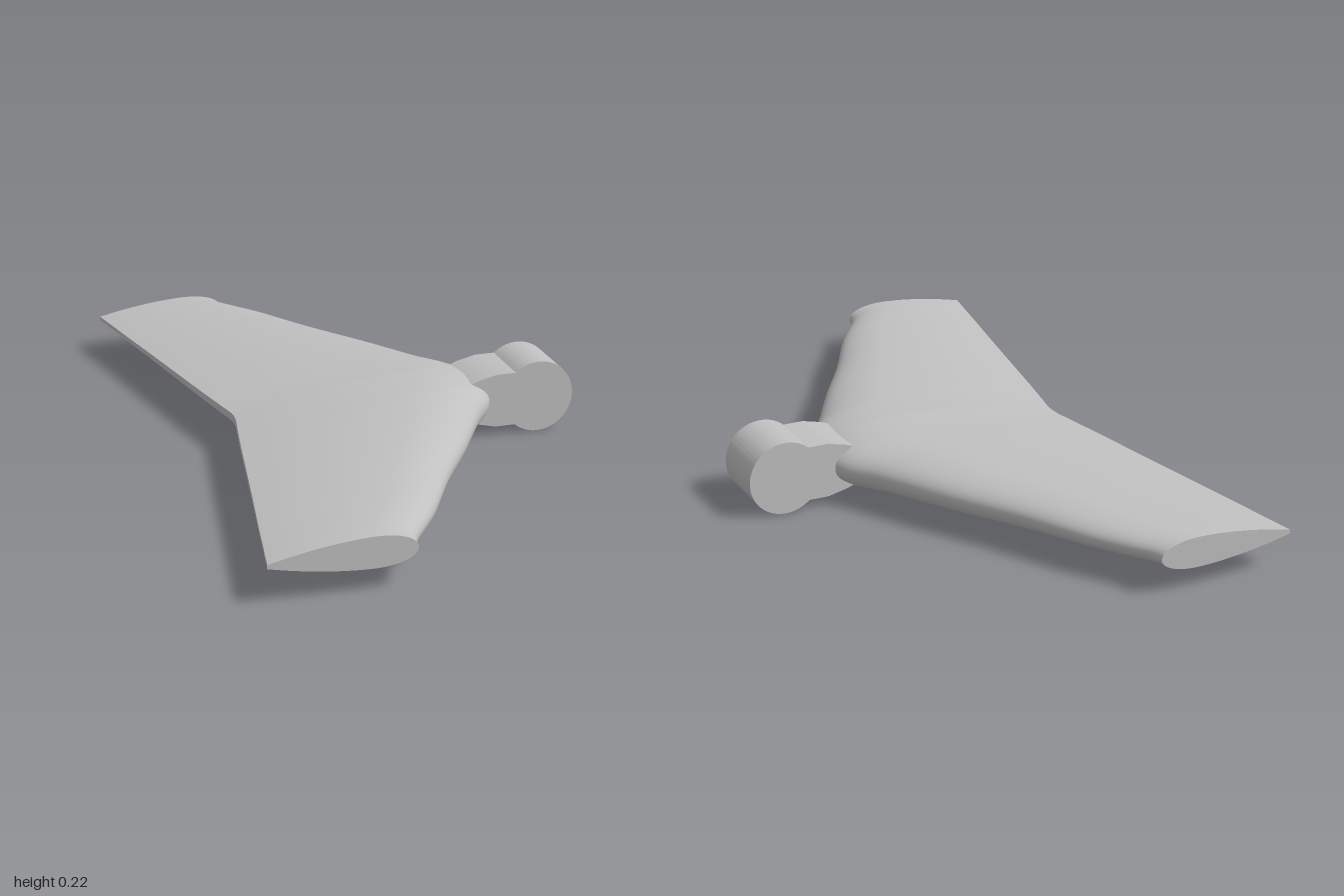
import * as THREE from 'three';
import { toCreasedNormals } from 'three/addons/utils/BufferGeometryUtils.js';

const MID = 0.108; // height of the chord plane

// Half span stations: distance from centre, trailing edge x, leading edge x
const STATIONS = [
  [0, -0.415, 0.345], [0.1, -0.431, 0.332], [0.2, -0.45, 0.265], [0.4, -0.486, 0.15],
  [0.6, -0.522, 0.026], [0.8, -0.559, -0.083], [0.88, -0.573, -0.136],
  [0.95, -0.586, -0.183], [0.98, -0.591, -0.194], [1, -0.595, -0.197],
];

// Airfoil half thickness (0..1), t runs from the nose to the trailing edge
function thickness(t) {
  const peak = 0.28;
  if (t < peak) return Math.pow(1 - (1 - t / peak) ** 2, 0.47);
  return 1 - 0.87 * ((t - peak) / (1 - peak)) ** 1.75;
}

// Section outline: upper trailing edge, round the nose, lower trailing edge
function section(z, trail, lead, n = 28) {
  const half = 0.088 - 0.044 * Math.abs(z);
  const points = [];
  for (let i = -n; i <= n; i++) {
    const t = (i / n) ** 2;
    const side = i < 0 ? 1 : -1;
    const y = i === 0 ? 0 : side * half * thickness(t);
    points.push(new THREE.Vector3(lead + (trail - lead) * t, MID + y, z));
  }
  return points;
}

// Skin a grid of sections
function loft(rows) {
  const n = rows[0].length;
  const index = [];
  for (let j = 0; j < rows.length - 1; j++) {
    for (let i = 0; i < n - 1; i++) {
      const a = j * n + i, b = a + n;
      index.push(a, b, a + 1, b, b + 1, a + 1);
    }
  }
  const geometry = new THREE.BufferGeometry().setFromPoints(rows.flat());
  geometry.setIndex(index);
  geometry.computeVertexNormals();
  return geometry;
}

export function createModel() {
  const group = new THREE.Group();
  const grey = new THREE.MeshStandardMaterial({ color: 0xc0c0c0 });
  grey.name = 'light grey';
  const add = (name, geometry) => {
    const mesh = new THREE.Mesh(geometry, grey);
    mesh.name = name;
    group.add(mesh);
  };

  // Swept fin, both halves in one smooth skin
  const mirrored = STATIONS.slice(1).reverse().map(([z, a, b]) => [-z, a, b]);
  const curve = new THREE.CatmullRomCurve3(
    [...mirrored, ...STATIONS].map((s) => new THREE.Vector3(...s)));
  const rows = curve.getPoints(108).map((p) => section(p.x, p.y, p.z));
  add('finSkin', loft(rows));

  // Narrow blunt strip along the trailing edge
  add('trailingEdge', loft(rows.map((r) => [r[r.length - 1], r[0]])));

  // Flat tips
  for (const side of [1, -1]) {
    const outline = rows[rows.length - 1].map((p) => new THREE.Vector2(p.x * side, p.y));
    const tip = new THREE.ShapeGeometry(new THREE.Shape(outline));
    if (side < 0) tip.rotateY(Math.PI);
    tip.translate(0, 0, side);
    add(side > 0 ? 'frontTip' : 'backTip', tip);
  }

  // Hinge block: neck gripping the leading edge, with a round barrel
  const r = 0.108, cx = 0.487, neck = 0.081;
  const join = Math.PI - Math.asin(neck / r);
  const shape = new THREE.Shape();
  shape.moveTo(0.278, MID + 0.06);
  shape.lineTo(0.3, MID + 0.068);
  shape.lineTo(0.355, MID + neck);
  shape.lineTo(cx + r * Math.cos(join), MID + neck);
  shape.absarc(cx, MID, r, join, -join, true);
  shape.lineTo(0.355, MID - neck);
  shape.lineTo(0.3, MID - 0.068);
  shape.lineTo(0.278, MID - 0.06);
  shape.quadraticCurveTo(0.385, MID, 0.278, MID + 0.06);
  const hinge = new THREE.ExtrudeGeometry(shape, { depth: 0.184, bevelEnabled: false, curveSegments: 40 });
  hinge.translate(0, 0, -0.092);
  add('hinge', toCreasedNormals(hinge, 0.4));

  return group;
}
